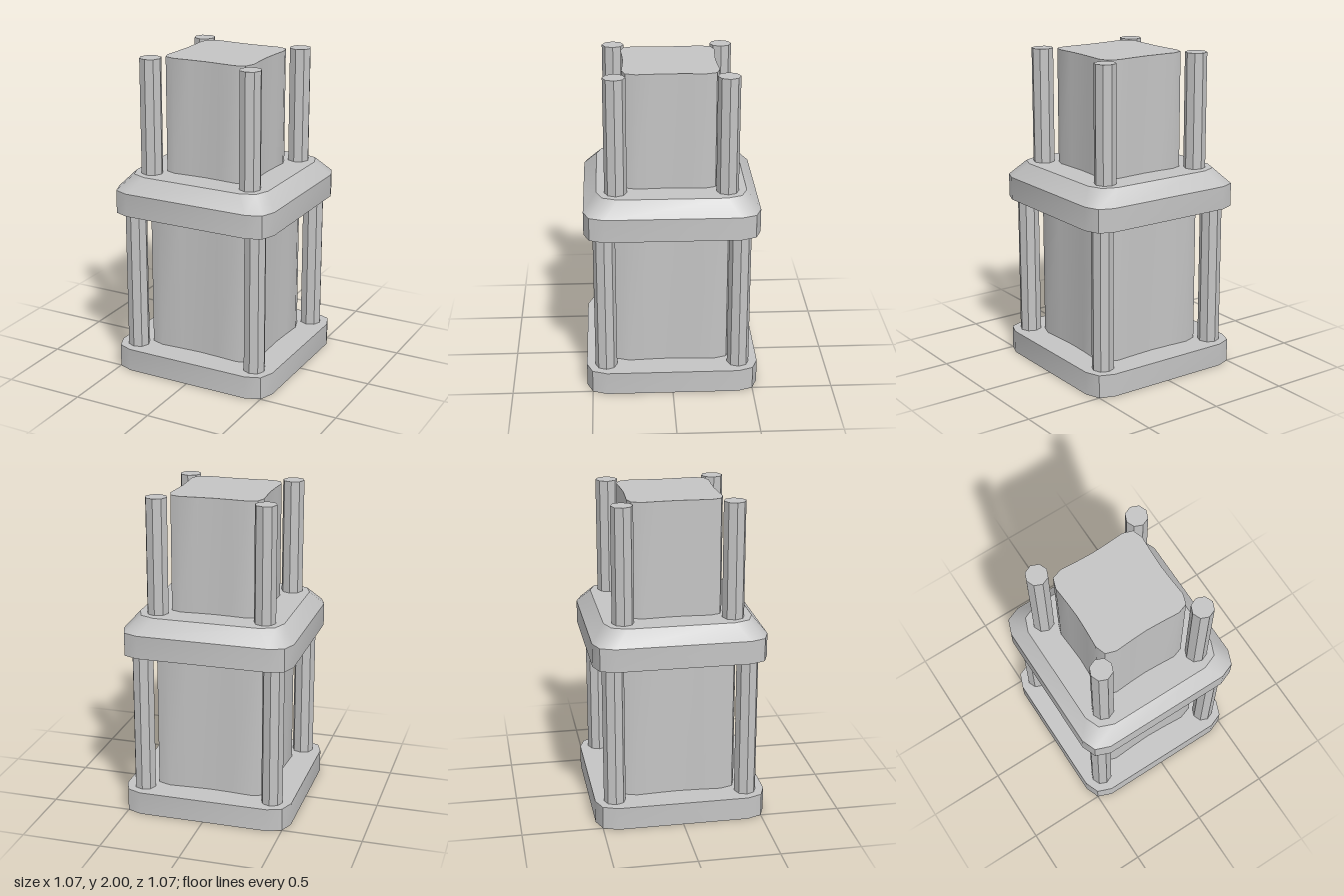
import * as THREE from 'three';
import { toCreasedNormals } from 'three/addons/utils/BufferGeometryUtils.js';

const CREASE = 0.6;

// Repeat a quarter outline of [x, z] points four times around the y axis
function outline(quarter, scale = 1) {
  const ring = [];
  for (let k = 0; k < 4; k++) {
    for (const [px, pz] of quarter) {
      let x = px * scale, z = pz * scale;
      for (let i = 0; i < k; i++) [x, z] = [-z, x];
      ring.push([x, z]);
    }
  }
  return ring;
}

// Closed solid through a stack of { y, ring } sections
function loft(sections) {
  const n = sections[0].ring.length;
  const pos = [], index = [];
  for (const { y, ring } of sections) for (const [x, z] of ring) pos.push(x, y, z);
  const last = sections.length - 1;
  for (let s = 0; s < last; s++) {
    for (let i = 0; i < n; i++) {
      const a = s * n + i, b = s * n + (i + 1) % n;
      index.push(a, a + n, b, b, a + n, b + n);
    }
  }
  const bottom = pos.length / 3, top = bottom + 1;
  pos.push(0, sections[0].y, 0, 0, sections[last].y, 0);
  for (let i = 0; i < n; i++) {
    const j = (i + 1) % n;
    index.push(bottom, i, j, top, last * n + j, last * n + i);
  }
  const geo = new THREE.BufferGeometry();
  geo.setAttribute('position', new THREE.Float32BufferAttribute(pos, 3));
  geo.setIndex(index);
  return toCreasedNormals(geo, CREASE);
}

export function createModel() {
  const model = new THREE.Group();
  model.name = 'tower';
  const grey = new THREE.MeshStandardMaterial({ color: 0xc4c4c4 });
  grey.name = 'light grey';

  const add = (name, geo) => {
    const mesh = new THREE.Mesh(geo, grey);
    mesh.name = name;
    model.add(mesh);
    return mesh;
  };

  // Four octagonal posts at the corners of a square
  const addPosts = (name, offset, y0, y1) => {
    const geo = toCreasedNormals(new THREE.CylinderGeometry(0.068, 0.068, y1 - y0, 8), CREASE);
    for (const sx of [-1, 1]) for (const sz of [-1, 1]) {
      add(name, geo).position.set(sx * offset, (y0 + y1) / 2, sz * offset);
    }
  };

  // Plates with clipped corners, the upper one bevelled inwards
  const plate = outline([[0.535, 0.41], [0.5, 0.5], [0.41, 0.535]]);
  const plateTop = outline([[0.454, 0.328], [0.418, 0.418], [0.328, 0.454]]);
  add('basePlate', loft([{ y: 0, ring: plate }, { y: 0.145, ring: plate }]));
  add('middlePlate', loft([
    { y: 1.04, ring: plate }, { y: 1.185, ring: plate }, { y: 1.28, ring: plateTop },
  ]));

  // Square cores with slightly hollow sides
  const core = [[0.28, 0], [0.284, 0.1], [0.291, 0.208], [0.27, 0.27], [0.208, 0.291], [0.1, 0.284]];
  const lower = outline(core, 1.28), upper = outline(core);
  add('lowerCore', loft([{ y: 0.145, ring: lower }, { y: 1.04, ring: lower }]));
  add('upperCore', loft([{ y: 1.28, ring: upper }, { y: 2, ring: upper }]));

  addPosts('lowerPost', 0.413, 0.145, 1.04);
  addPosts('upperPost', 0.337, 1.28, 2);

  return model;
}
